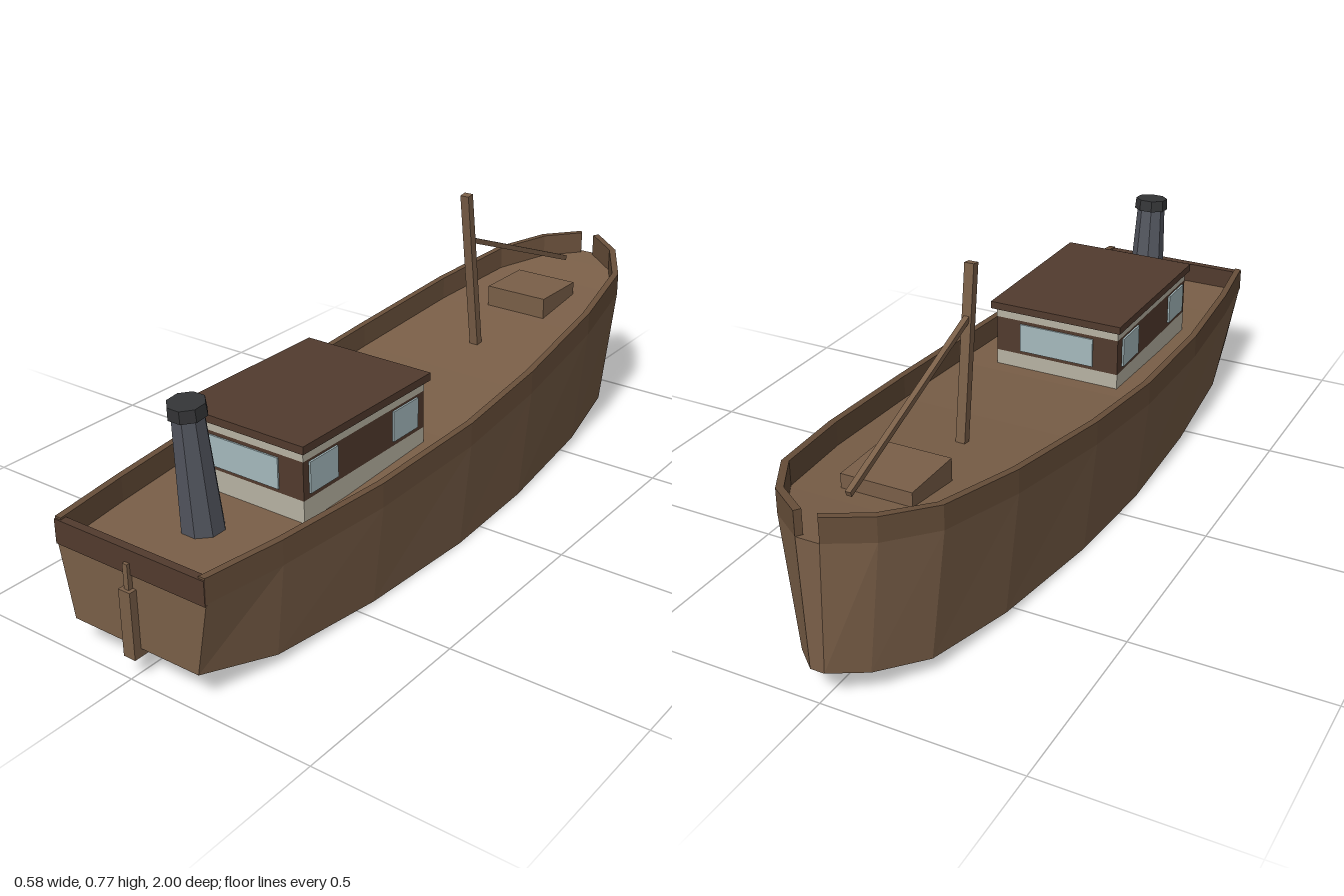
import * as THREE from 'three';

const mat = (name, color, side = THREE.FrontSide) => {
  const m = new THREE.MeshStandardMaterial({ color, side });
  m.name = name;
  return m;
};

// Hull stations from stern to bow: z, half-width at deck, half-width at bottom, bottom y, sheer y
const STATIONS = [
  [0.98, 0.22, 0.185, 0.075, 0.325],
  [0.77, 0.25, 0.225, 0.025, 0.325],
  [0.45, 0.28, 0.25, 0.005, 0.33],
  [0.1, 0.29, 0.262, 0, 0.345],
  [-0.2, 0.28, 0.25, 0.004, 0.372],
  [-0.55, 0.25, 0.215, 0.02, 0.413],
  [-0.8, 0.205, 0.165, 0.04, 0.445],
  [-0.93, 0.125, 0.09, 0.065, 0.465],
  [-1.0, 0.03, 0.018, 0.085, 0.475],
];
const BAND = 0.062; // bulwark height
const RAIL = 0.018; // bulwark thickness

// Flat-shaded skin through closed loops (counter-clockwise seen from the stern), capped at both ends
function loft(sections) {
  const pos = [];
  const tri = (...pts) => pts.forEach((p) => pos.push(...p));
  const n = sections[0].length;
  for (let i = 0; i < sections.length - 1; i++) {
    for (let j = 0; j < n; j++) {
      const k = (j + 1) % n;
      const a = sections[i][j], b = sections[i][k], c = sections[i + 1][k], d = sections[i + 1][j];
      tri(a, d, c);
      tri(a, c, b);
    }
  }
  const first = sections[0], last = sections[sections.length - 1];
  for (let j = 1; j < n - 1; j++) {
    tri(first[0], first[j], first[j + 1]);
    tri(last[0], last[j + 1], last[j]);
  }
  const g = new THREE.BufferGeometry();
  g.setAttribute('position', new THREE.Float32BufferAttribute(pos, 3));
  g.computeVertexNormals();
  return g;
}

// Bulwark along one side, its thickness set inward square to the hull's plan curve
function bulwark(side) {
  return loft(STATIONS.map(([z, w, , , top], i) => {
    const p = STATIONS[Math.max(i - 1, 0)], q = STATIONS[Math.min(i + 1, STATIONS.length - 1)];
    const dx = q[1] - p[1], dz = q[0] - p[0], len = Math.hypot(dx, dz);
    const ix = w + (dz / len) * RAIL;
    const iz = i === 0 ? z : z - (dx / len) * RAIL;
    const low = top - BAND;
    const loop = [
      [side * w, low, z], [side * w, top, z],
      [side * ix, top, iz], [side * ix, low, iz],
    ];
    return side > 0 ? loop : loop.reverse();
  }));
}

export function createModel() {
  const timber = mat('timber', 0x7a5f48);
  const railWood = mat('rail wood', 0x684f3a);
  const darkWood = mat('dark wood', 0x523b2e);
  const cream = mat('cream paint', 0xb8b3a3);
  const glass = mat('window glass', 0xa6babe);
  const steel = mat('funnel steel', 0x53565f);
  const soot = mat('funnel cap', 0x343537);

  const boat = new THREE.Group();
  boat.name = 'boat';
  const add = (name, geometry, material, parent = boat) => {
    const m = new THREE.Mesh(geometry, material);
    m.name = name;
    parent.add(m);
    return m;
  };
  // Box given by its minimum and maximum corners
  const box = (name, [x0, y0, z0], [x1, y1, z1], material, parent) => {
    const m = add(name, new THREE.BoxGeometry(x1 - x0, y1 - y0, z1 - z0), material, parent);
    m.position.set((x0 + x1) / 2, (y0 + y1) / 2, (z0 + z1) / 2);
    return m;
  };
  // Square or faceted post between two points
  const between = (m, a, b) => {
    const A = new THREE.Vector3(...a), B = new THREE.Vector3(...b);
    m.position.copy(A).add(B).multiplyScalar(0.5);
    m.quaternion.setFromUnitVectors(new THREE.Vector3(0, 1, 0), B.sub(A).normalize());
    return m;
  };

  // Hull with its deck as the top face
  add('hull', loft(STATIONS.map(([z, w, b, y, top]) => [
    [w, top - BAND, z], [-w, top - BAND, z], [-b, y, z], [b, y, z],
  ])), timber);

  // Bulwarks, open at the stem, and the board closing the stern
  add('leftBulwark', bulwark(1), railWood);
  add('rightBulwark', bulwark(-1), railWood);
  box('sternBoard', [-0.22, 0.258, 0.963], [0.22, 0.32, 0.984], darkWood);

  // Rudder
  box('rudderStock', [-0.007, 0.2, 0.978], [0.007, 0.287, 0.992], timber);
  box('rudderBlade', [-0.017, 0.054, 0.95], [0.017, 0.224, 1.0], timber);

  // Deckhouse
  const house = new THREE.Group();
  house.name = 'deckhouse';
  boat.add(house);
  box('houseBase', [-0.178, 0.262, 0.145], [0.178, 0.322, 0.61], cream, house);
  box('houseWalls', [-0.178, 0.322, 0.145], [0.178, 0.42, 0.61], darkWood, house);
  box('houseFrieze', [-0.178, 0.42, 0.145], [0.178, 0.446, 0.61], cream, house);
  box('houseRoof', [-0.189, 0.446, 0.132], [0.189, 0.466, 0.622], darkWood, house);
  for (const z of [0.61, 0.145]) {
    box('endWindow', [-0.107, 0.332, z - 0.004], [0.107, 0.411, z + 0.004], glass, house);
  }
  for (const x of [-0.179, 0.179]) {
    for (const [z0, z1] of [[0.49, 0.59], [0.175, 0.275]]) {
      box('sideWindow', [x - 0.004, 0.335, z0], [x + 0.004, 0.414, z1], glass, house);
    }
  }

  // Funnel, raked slightly aft
  const faceted = (r1, r0, h) => {
    const g = new THREE.CylinderGeometry(r1, r0, h, 8).rotateY(Math.PI / 8).toNonIndexed();
    g.computeVertexNormals();
    return g;
  };
  between(add('funnel', faceted(0.039, 0.053, 0.3), steel), [0, 0.26, 0.75], [0, 0.558, 0.777]);
  between(add('funnelCap', faceted(0.045, 0.047, 0.031), soot), [0, 0.553, 0.776], [0, 0.584, 0.779]);

  // Mast and its stay spar
  between(add('mast', new THREE.BoxGeometry(0.025, 0.46, 0.022), timber), [0, 0.315, -0.366], [0, 0.769, -0.304]);
  between(add('spar', new THREE.BoxGeometry(0.014, 0.565, 0.014), timber), [0, 0.642, -0.32], [0, 0.44, -0.845]);

  // Fore hatch
  box('foreHatch', [-0.092, 0.34, -0.742], [0.092, 0.412, -0.572], timber);

  return boat;
}
